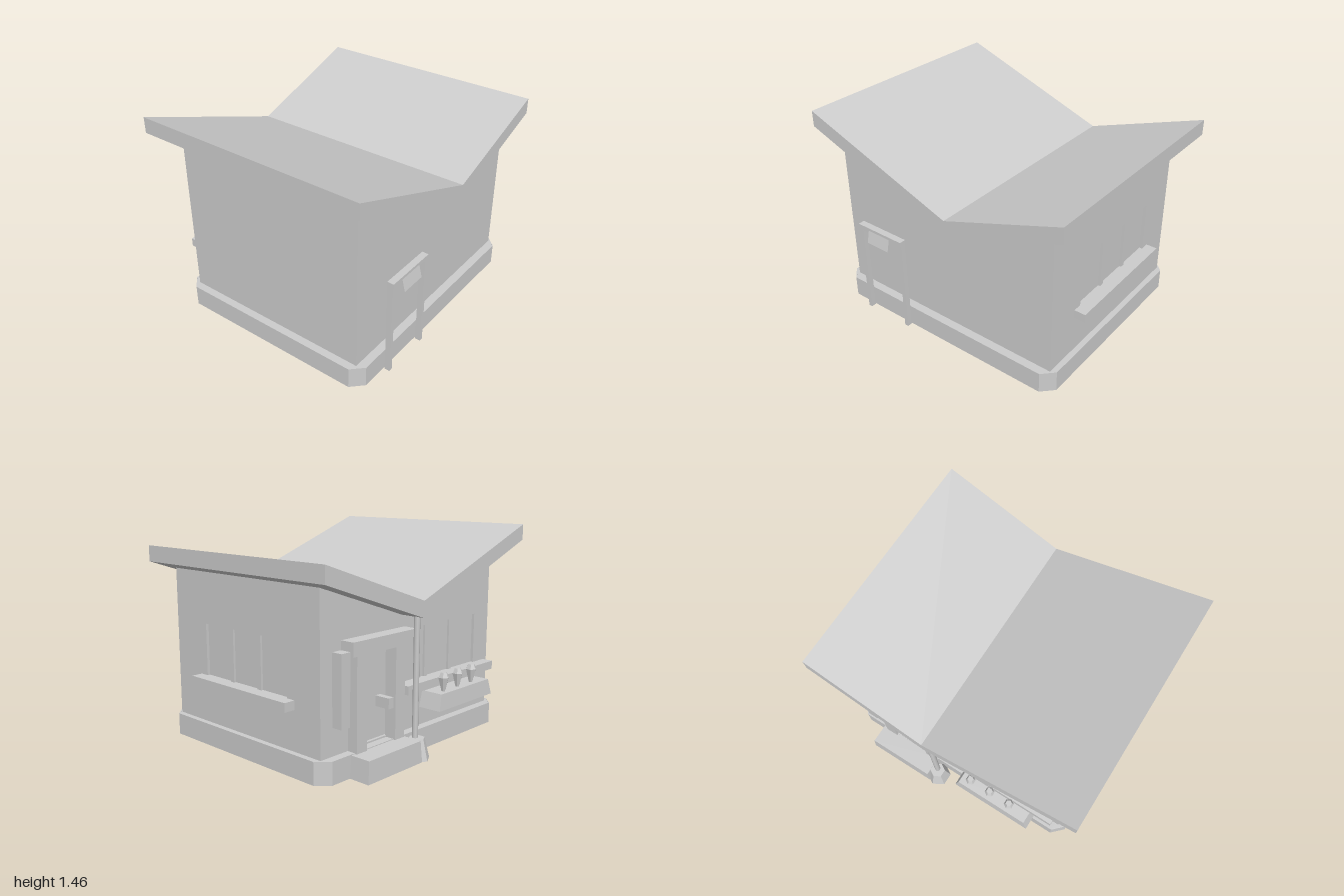
import * as THREE from 'three';

export function createModel() {
  const house = new THREE.Group();
  house.name = 'house';
  const plaster = new THREE.MeshStandardMaterial({ color: 0xcccccc });
  plaster.name = 'light grey';

  const add = (name, geometry) => {
    const mesh = new THREE.Mesh(geometry, plaster);
    mesh.name = name;
    house.add(mesh);
    return mesh;
  };
  // box given by its limits on each axis
  const box = (name, x0, x1, y0, y1, z0, z1) =>
    add(name, new THREE.BoxGeometry(x1 - x0, y1 - y0, z1 - z0)
      .translate((x0 + x1) / 2, (y0 + y1) / 2, (z0 + z1) / 2));
  const outline = (pts, Type = THREE.Shape) => new Type(pts.map(([x, y]) => new THREE.Vector2(x, y)));
  const hole = (x0, x1, y0, y1) => outline([[x0, y0], [x0, y1], [x1, y1], [x1, y0]], THREE.Path);
  const extrude = (shape, depth, z = 0) =>
    new THREE.ExtrudeGeometry(shape, { depth, bevelEnabled: false }).translate(0, 0, z);

  // butterfly roof with its valley off centre
  add('roof', extrude(outline([
    [-1, 1.35], [0.13, 0.93], [1, 1.225], [1, 1.335], [0.13, 1.04], [-1, 1.46],
  ]), 1.695, -0.84));

  // solid core plus thin outer layers, leaving shallow window and door recesses
  const wallProfile = (right) => outline([
    [-0.86, 0.14], [right, 0.14], [right, 1.19], [0.13, 0.95], [-0.86, 1.31],
  ]);
  add('walls', extrude(wallProfile(0.845), 1.38, -0.64));
  const backShape = wallProfile(0.865);
  backShape.holes.push(hole(-0.69, 0.12, 0.475, 0.83), hole(0.26, 0.55, 0.16, 0.77));
  add('backWall', extrude(backShape, 0.02, -0.66));
  const sideShape = outline([[-0.74, 0.14], [0.64, 0.14], [0.64, 1.18], [-0.74, 1.18]]);
  sideShape.holes.push(hole(-0.42, 0.375, 0.475, 0.83));
  add('sideWall', extrude(sideShape, 0.02, 0.845).rotateY(Math.PI / 2));

  // plinth: open-bottomed shell with chamfered corners and a ledge on top
  const octagon = (i) => [
    [-0.915 + i, -0.72], [-0.835, -0.8 + i], [0.825, -0.8 + i], [0.905 - i, -0.72],
    [0.905 - i, 0.64], [0.825, 0.72 - i], [-0.835, 0.72 - i], [-0.915 + i, 0.64],
  ];
  const rim = outline(octagon(0));
  rim.holes.push(outline(octagon(0.008).reverse(), THREE.Path));
  add('plinthRim', extrude(rim, 0.15).rotateX(-Math.PI / 2));
  add('plinthLedge', extrude(outline(octagon(0.004)), 0.015, 0.134).rotateX(-Math.PI / 2));

  // window mullions and sills
  for (const z of [0.158, -0.112]) box('sideMullion', 0.84, 0.86, 0.475, 0.83, z - 0.017, z + 0.017);
  for (const x of [-0.14, -0.41]) box('backMullion', x - 0.017, x + 0.017, 0.475, 0.83, -0.655, -0.635);
  box('sideSill', 0.86, 0.945, 0.415, 0.475, -0.44, 0.485);
  box('backSill', -0.82, 0.15, 0.415, 0.475, -0.74, -0.655);

  // back door
  for (const x of [0.225, 0.585]) box('doorPost', x - 0.045, x + 0.045, 0.145, 0.77, -0.735, -0.65);
  box('doorLintel', 0.1, 0.69, 0.76, 0.85, -0.76, -0.65);
  box('doorHandle', 0.31, 0.355, 0.37, 0.44, -0.75, -0.635);
  box('wallBox', 0.69, 0.765, 0.33, 0.79, -0.735, -0.65);

  // box whose top is drawn in at the ends and the outer side
  const taper = (mesh, top, endInset, outerInset) => {
    const p = mesh.geometry.attributes.position;
    mesh.geometry.computeBoundingBox();
    const { min, max } = mesh.geometry.boundingBox.clone();
    for (let i = 0; i < p.count; i++) {
      if (p.getY(i) < top - 0.001) continue;
      p.setX(i, p.getX(i) > (min.x + max.x) / 2 ? max.x - endInset : min.x + endInset);
      if (p.getZ(i) < (min.z + max.z) / 2) p.setZ(i, min.z + outerInset);
    }
    mesh.geometry.computeVertexNormals();
  };
  taper(box('doorStep', 0.16, 0.675, 0, 0.145, -0.87, -0.71), 0.145, 0.012, 0.006);
  taper(box('planter', -0.68, -0.07, 0.275, 0.385, -0.83, -0.655), 0.385, 0.03, 0.01);

  // flared flowers in the planter
  for (const x of [-0.18, -0.34, -0.5]) {
    add('flowerStem', new THREE.CylinderGeometry(0.038, 0.012, 0.1, 6).toNonIndexed()
      .translate(x, 0.43, -0.775)).geometry.computeVertexNormals();
    add('flowerHead', new THREE.CylinderGeometry(0.022, 0.036, 0.035, 6).toNonIndexed()
      .translate(x, 0.497, -0.775)).geometry.computeVertexNormals();
  }

  // rain pipe below the valley, with a flared foot
  add('rainPipe', new THREE.CylinderGeometry(0.02, 0.02, 0.82, 8).translate(0.13, 0.54, -0.785));
  add('rainPipeFoot', new THREE.CylinderGeometry(0.055, 0.09, 0.14, 6).toNonIndexed()
    .translate(0.125, 0.07, -0.795)).geometry.computeVertexNormals();

  // free-standing front frame with a tilted plate
  for (const x of [-0.641, -0.279]) box('framePost', x - 0.014, x + 0.014, 0.015, 0.69, 0.818, 0.855);
  box('frameBeam', -0.655, -0.265, 0.685, 0.72, 0.815, 0.862);
  const plate = add('hangingPlate', new THREE.BoxGeometry(0.19, 0.09, 0.005));
  plate.position.set(-0.465, 0.657, 0.87);
  plate.rotation.x = -0.24;

  return house;
}
